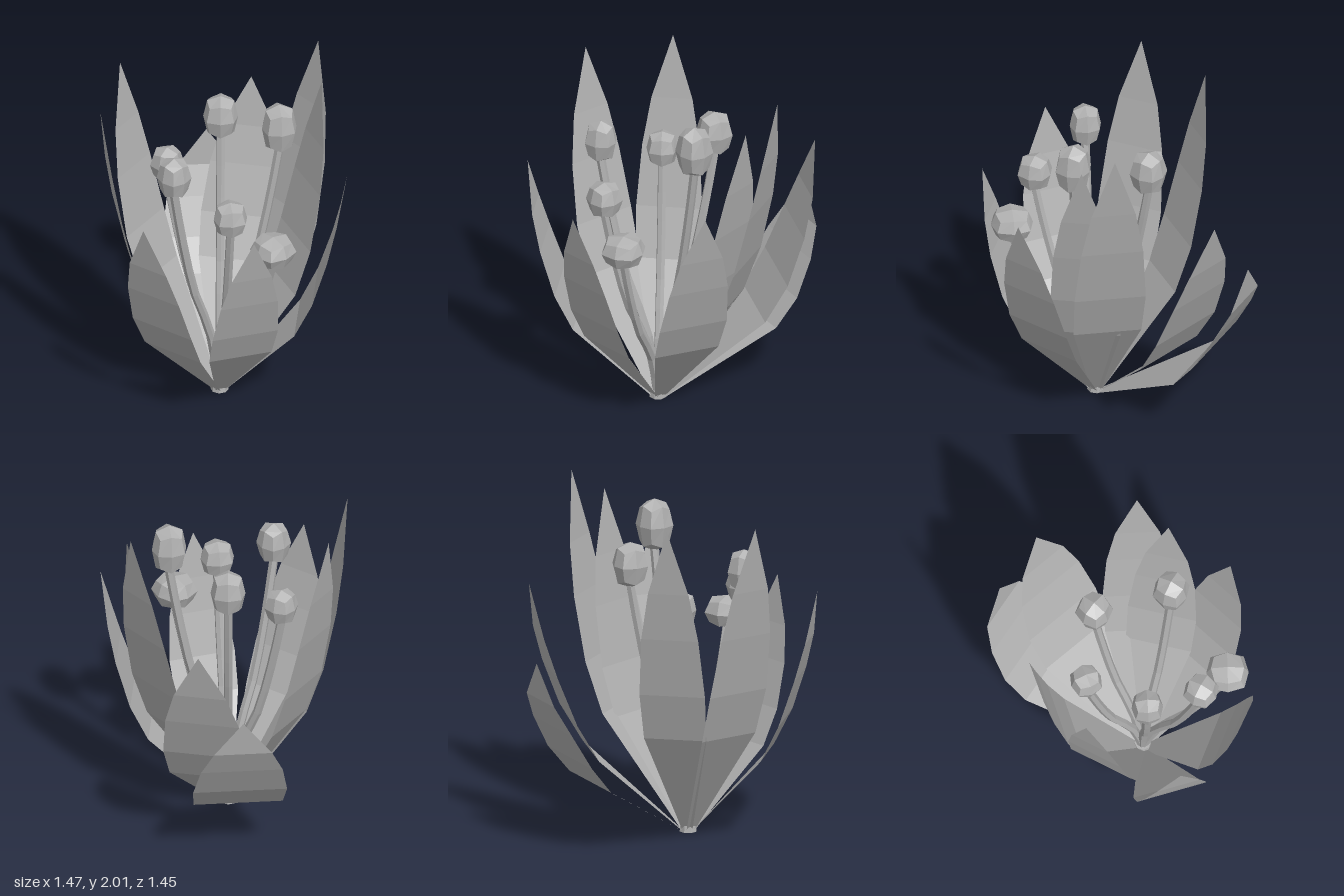
import * as THREE from 'three';

const BASE = new THREE.Vector3(-0.02, 0, 0.12);

// rows of a leaf: [share of tip reach, share of tip height, share of half width, outward bow]
const LEAF_ROWS = [
  [0.03, 0, 0.14, 0], [0.605, 0.335, 0.95, 0.04], [0.745, 0.48, 1, 0.035],
  [0.86, 0.66, 0.87, 0.035], [0.93, 0.805, 0.62, 0.045], [1, 1, 0, 0],
];

// leaf blade: flat across, curving upwards from the base to the tip
function leafGeometry(tip, halfWidth, bow) {
  const reach = new THREE.Vector3(tip[0] - BASE.x, 0, tip[2] - BASE.z);
  const side = new THREE.Vector3(-reach.z, 0, reach.x).normalize();
  const positions = [], index = [];
  LEAF_ROWS.forEach(([r, h, w, b], i) => {
    for (const s of [-1, 1]) {
      const p = BASE.clone().addScaledVector(reach, r + b * bow)
        .addScaledVector(side, s * w * halfWidth);
      positions.push(p.x, h * tip[1], p.z);
    }
    if (i > 0) {
      const a = 2 * i - 2;
      index.push(a, a + 2, a + 1);
      if (w > 0) index.push(a + 1, a + 2, a + 3);
    }
  });
  const geometry = new THREE.BufferGeometry();
  geometry.setAttribute('position', new THREE.Float32BufferAttribute(positions, 3));
  geometry.setIndex(index);
  geometry.computeVertexNormals();
  return geometry;
}

// stem: thin tube that leaves the base steeply, then leans out to its bud
function stemGeometry(x, y, z) {
  const points = [[0, 0], [0.2, 0.28], [0.55, 0.5], [0.83, 0.78], [1, 1]].map(([r, h]) =>
    new THREE.Vector3(BASE.x + (x - BASE.x) * r, y * h, BASE.z + (z - BASE.z) * r));
  return new THREE.TubeGeometry(new THREE.CatmullRomCurve3(points), 8, 0.025, 6);
}

// bud: cube split in quarters, its edges and corners pulled in towards a ball
function budGeometry(radius, halfHeight) {
  const geometry = new THREE.BoxGeometry(2, 2, 2, 2, 2, 2);
  const position = geometry.attributes.position;
  const p = new THREE.Vector3();
  for (let i = 0; i < position.count; i++) {
    p.fromBufferAttribute(position, i);
    const pull = [1, 1, 0.78, 0.62][Math.round(p.lengthSq())];
    position.setXYZ(i, p.x * pull * radius, p.y * pull * halfHeight, p.z * pull * radius);
  }
  geometry.computeVertexNormals();
  return geometry;
}

export function createModel() {
  const plant = new THREE.Group();
  plant.name = 'plant';
  const grey = new THREE.MeshStandardMaterial({
    color: 0xb0b0b0, flatShading: true, side: THREE.DoubleSide,
  });
  grey.name = 'grey';
  const add = (name, geometry) => {
    const mesh = new THREE.Mesh(geometry, grey);
    mesh.name = name;
    plant.add(mesh);
    return mesh;
  };

  // leaves: tip position, half width, outward bow
  const leaves = [
    [[0.7, 2, 0.12], 0.2, 0], [[0.58, 1.86, 0.29], 0.195, 0], [[0.48, 1.47, 0.63], 0.2, 0],
    [[-0.28, 1.36, 0.72], 0.19, 0], [[-0.73, 1.43, 0.3], 0.2, 0.2],
    [[-0.6, 1.91, -0.22], 0.187, 0], [[-0.2, 1.92, -0.52], 0.185, 0],
    [[0.54, 1.1, -0.65], 0.262, 1], [[0.69, 1.49, -0.44], 0.24, 0.2],
  ];
  leaves.forEach(([tip, w, bow], i) => add('leaf' + (i + 1), leafGeometry(tip, w, bow)));

  // stems and buds: bud centre, radius, half height
  const buds = [
    [-0.13, 1.38, -0.2, 0.088, 0.105], [0.21, 1.58, -0.14, 0.097, 0.13],
    [-0.36, 1.545, 0.13, 0.088, 0.125], [0.27, 1.69, 0.29, 0.097, 0.15],
    [-0.21, 1.36, 0.435, 0.094, 0.105], [-0.03, 1.15, 0.59, 0.118, 0.09],
  ];
  buds.forEach(([x, y, z, r, h], i) => {
    add('stem' + (i + 1), stemGeometry(x, y - h * 0.9, z));
    const bud = add('bud' + (i + 1), budGeometry(r, h));
    bud.position.set(x, y, z);
    bud.rotation.y = Math.atan2(x - BASE.x, z - BASE.z); // faces the way its stem leans
  });

  // small crown where everything meets
  add('crown', new THREE.CylinderGeometry(0.045, 0.05, 0.045, 8))
    .position.set(BASE.x, 0.0225, BASE.z);

  return plant;
}
